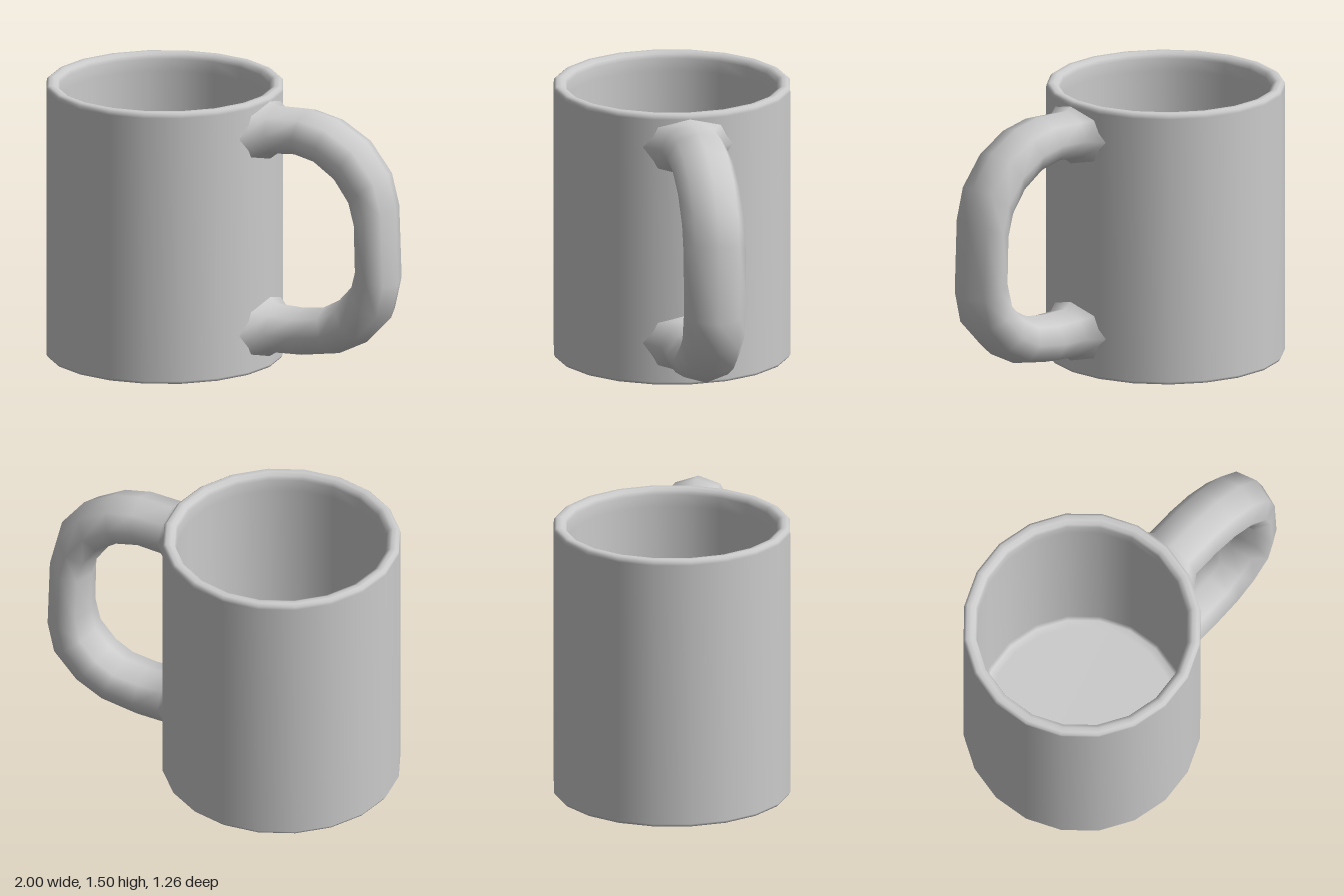
import * as THREE from 'three';

const material = new THREE.MeshStandardMaterial({ color: 0xcccccc });
const BODY_X = -0.37;
const HANDLE_Z = 0.035;

// Outer wall, rounded rim, inner wall and floor in one turned profile
function createBody() {
  const profile = [
    [0, 0], [0.5, 0.002], [0.59, 0.006], [0.622, 0.015], [0.631, 0.03],
    [0.631, 1.47], [0.629, 1.488], [0.615, 1.499], [0.59, 1.499], [0.568, 1.488], [0.56, 1.465],
    [0.555, 1.4], [0.555, 0.11], [0.54, 0.085], [0.5, 0.08], [0, 0.08],
  ].map(([r, y]) => new THREE.Vector2(r, y));
  const body = new THREE.Mesh(new THREE.LatheGeometry(profile, 20), material);
  body.name = 'cupBody';
  body.position.x = BODY_X;
  body.rotation.y = -0.05;
  return body;
}

// Eight-sided oval tube, flared where it meets the wall
function createHandle() {
  const SIDES = 8;
  // Each station: outer x, outer y, inner x, inner y
  const stations = [
    [0.25, 1.48, 0.25, 1.15], [0.29, 1.453, 0.30, 1.19],
    [0.48, 1.457, 0.43, 1.20], [0.64, 1.42, 0.55, 1.17], [0.81, 1.32, 0.66, 1.09],
    [0.94, 1.15, 0.735, 0.98], [0.985, 0.97, 0.765, 0.87], [1.0, 0.55, 0.77, 0.64],
    [0.96, 0.37, 0.74, 0.52], [0.82, 0.22, 0.66, 0.43], [0.66, 0.14, 0.57, 0.38],
    [0.44, 0.105, 0.44, 0.365], [0.29, 0.10, 0.30, 0.37], [0.25, 0.07, 0.25, 0.41],
  ];
  const positions = [];
  const indices = [];
  stations.forEach(([ox, oy, ix, iy], i) => {
    const isEnd = i === 0 || i === stations.length - 1;
    const halfWidth = isEnd ? 0.25 : 0.168;
    for (let k = 0; k < SIDES; k++) {
      const angle = (k / SIDES) * Math.PI * 2;
      const t = (1 + Math.cos(angle)) / 2;
      const z = HANDLE_Z + halfWidth * Math.sin(angle);
      // End rings follow the curve of the cup wall
      const x = isEnd ? BODY_X + Math.sqrt(0.618 ** 2 - z * z) : ix + (ox - ix) * t;
      positions.push(x, iy + (oy - iy) * t, z);
      if (i > 0) {
        const a = (i - 1) * SIDES + k;
        const a2 = (i - 1) * SIDES + ((k + 1) % SIDES);
        indices.push(a, a2, a + SIDES, a2, a2 + SIDES, a + SIDES);
      }
    }
  });
  const geometry = new THREE.BufferGeometry();
  geometry.setAttribute('position', new THREE.Float32BufferAttribute(positions, 3));
  geometry.setIndex(indices);
  geometry.computeVertexNormals();
  const handle = new THREE.Mesh(geometry, material);
  handle.name = 'handle';
  return handle;
}

export function createModel() {
  const mug = new THREE.Group();
  mug.name = 'mug';
  mug.add(createBody(), createHandle());
  return mug;
}
